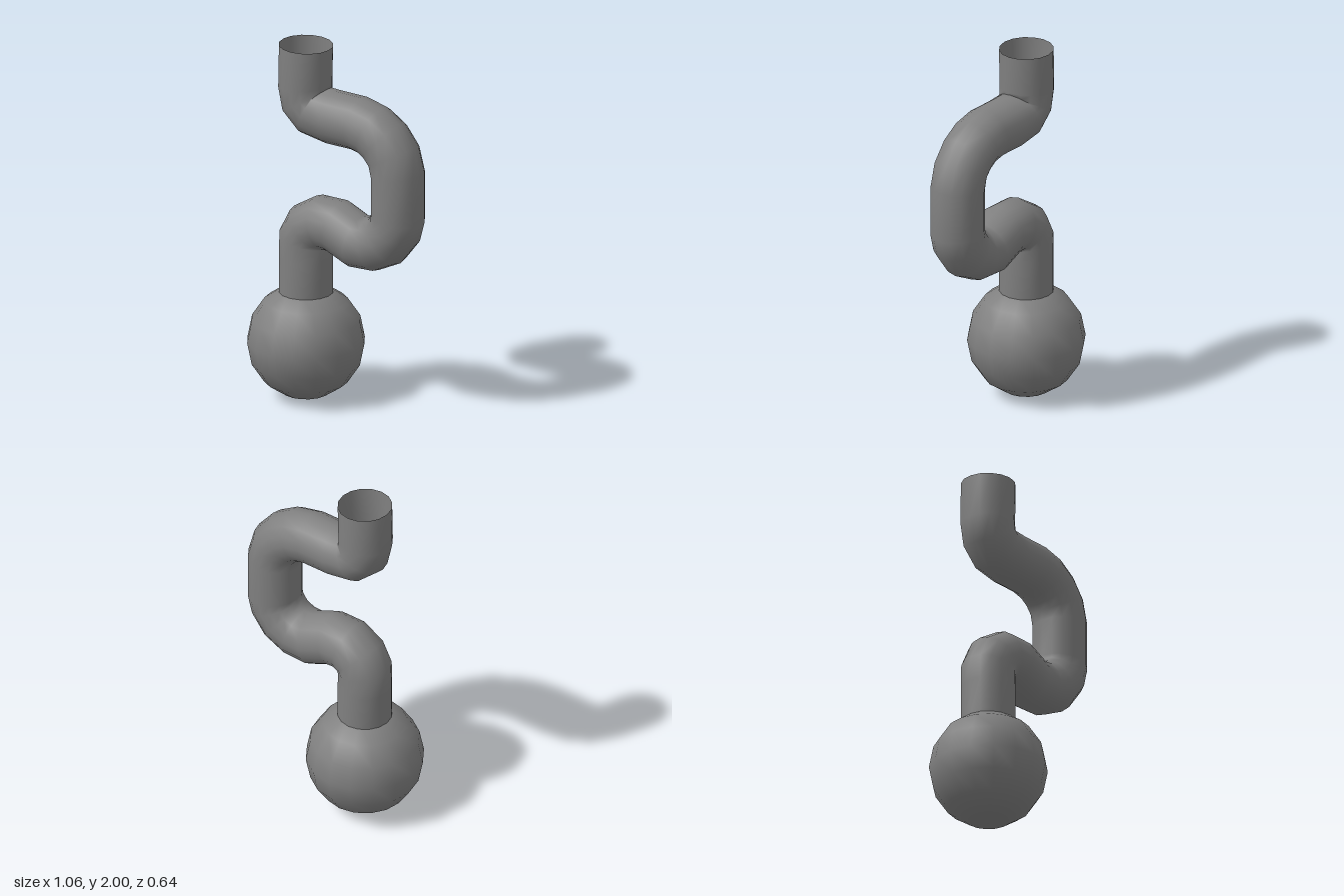
import * as THREE from 'three';

const SIDES = 16;
const RADIUS = 0.147;

// Sweeps a round section along a path lying in the xy plane.
function sweepPipe(path, radius, sides) {
  const positions = [];
  const index = [];
  path.forEach(([x, y], i) => {
    const here = new THREE.Vector2(x, y);
    const dir = (from, to) => to.clone().sub(from).normalize();
    const tangent = new THREE.Vector2();
    if (i > 0) tangent.add(dir(new THREE.Vector2(...path[i - 1]), here));
    if (i < path.length - 1) tangent.add(dir(here, new THREE.Vector2(...path[i + 1])));
    tangent.normalize();
    for (let j = 0; j < sides; j++) {
      const a = (j / sides) * Math.PI * 2;
      const across = Math.cos(a) * radius;
      positions.push(x + tangent.y * across, y - tangent.x * across, Math.sin(a) * radius);
      if (i < path.length - 1) {
        const p = i * sides + j;
        const q = i * sides + ((j + 1) % sides);
        index.push(p, p + sides, q, q, p + sides, q + sides);
      }
    }
  });
  const geometry = new THREE.BufferGeometry();
  geometry.setAttribute('position', new THREE.Float32BufferAttribute(positions, 3));
  geometry.setIndex(index);
  geometry.computeVertexNormals();
  return geometry;
}

export function createModel() {
  const group = new THREE.Group();
  group.name = 'bentPipeWithBulb';
  const material = new THREE.MeshStandardMaterial({ color: 0x808080, side: THREE.DoubleSide });

  // Round bulb, open where the pipe enters
  const bulb = new THREE.Mesh(
    new THREE.SphereGeometry(0.319, 16, 7, 0, Math.PI * 2, Math.PI / 8, Math.PI * 7 / 8),
    material
  );
  bulb.name = 'bulb';
  bulb.position.set(-0.215, 0.322, 0);
  group.add(bulb);

  // Centre line of the pipe, from the bulb up to the open mouth
  const path = [
    [-0.215, 0.58], [-0.215, 0.8], [-0.215, 0.905],
    [-0.182, 0.97], [-0.108, 1.014], [-0.01, 1.013], // lower elbow
    [0.125, 0.955], [0.225, 0.96], [0.31, 1.0], [0.367, 1.073], [0.384, 1.14],
    [0.384, 1.387],                                  // outer upright
    [0.358, 1.485], [0.3, 1.556], [0.225, 1.603], [0.13, 1.625],
    [-0.035, 1.626], [-0.152, 1.642], [-0.205, 1.69], [-0.22, 1.775],
    [-0.215, 2],                                     // mouth
  ];
  const pipe = new THREE.Mesh(sweepPipe(path, RADIUS, SIDES), material);
  pipe.name = 'pipe';
  group.add(pipe);

  return group;
}
